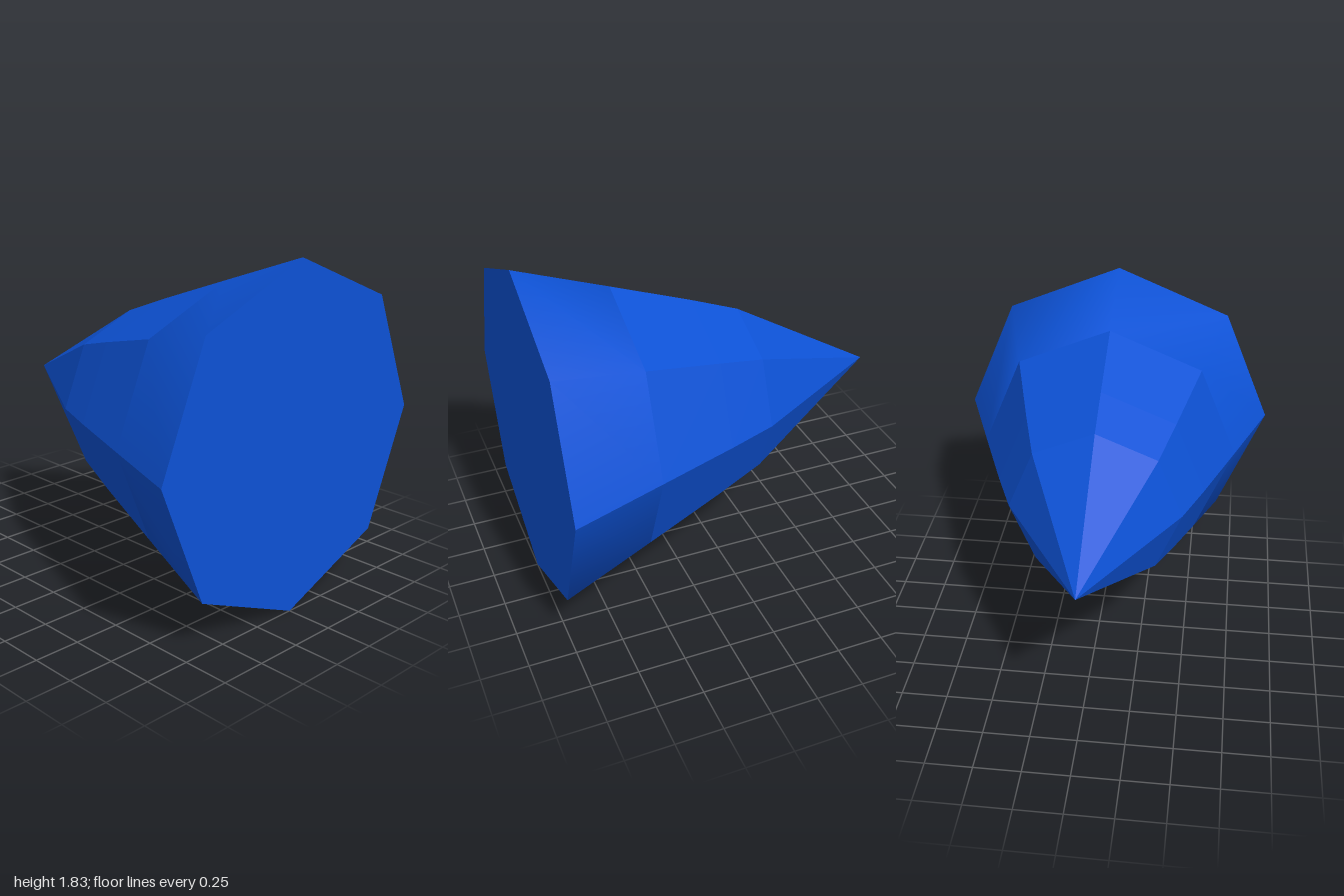
import * as THREE from 'three';

export function createModel() {
  const model = new THREE.Group();
  const SIDES = 8, R = 0.915, SHOULDER = 0.5, R_SHOULDER = 0.735;

  const blue = new THREE.MeshStandardMaterial({ color: 0x0d52d6 });
  blue.name = 'blue';
  const facetedBlue = blue.clone();
  facetedBlue.flatShading = true;

  const add = (name, geometry, material) => {
    const mesh = new THREE.Mesh(geometry, material);
    mesh.name = name;
    mesh.position.y = R;
    model.add(mesh);
  };

  // Faceted nose: octagonal lathe, tip pointing to -x
  const profile = [[0, -1], [0.47, -0.21], [0.575, 0.06], [R_SHOULDER, SHOULDER]]
    .map(([r, x]) => new THREE.Vector2(r, x));
  add('nose', new THREE.LatheGeometry(profile, SIDES).rotateZ(-Math.PI / 2), facetedBlue);

  // Skirt: lower and upper halves, each smooth within itself, creased where they meet
  ['lowerSkirt', 'upperSkirt'].forEach((name, i) => {
    const skirt = new THREE.CylinderGeometry(
      R, R_SHOULDER, 1 - SHOULDER, SIDES / 2, 1, true, i * Math.PI, Math.PI);
    skirt.computeVertexNormals();
    skirt.translate(0, (1 + SHOULDER) / 2, 0).rotateZ(-Math.PI / 2);
    add(name, skirt, blue);
  });

  // Flat octagonal base facing +x
  add('base', new THREE.CircleGeometry(R, SIDES).rotateY(Math.PI / 2).translate(1, 0, 0), blue);

  return model;
}
